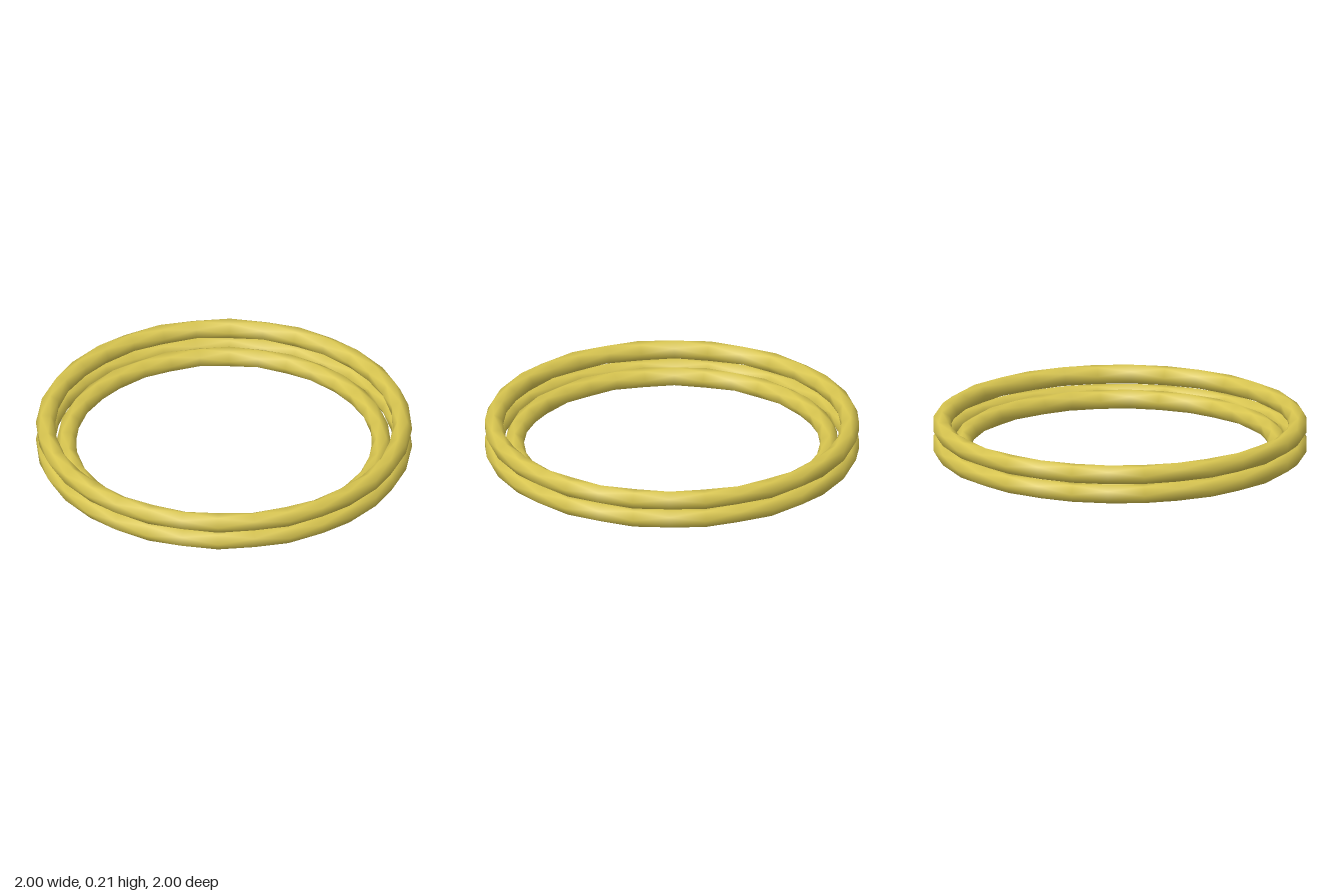
import * as THREE from 'three';

const SEGMENTS = 32;
const SIDES = 6;

// Ring with a hexagonal section turned half a side at every step, giving a rippled edge
function rippledRing(radius, tube) {
  const positions = [];
  const indices = [];
  for (let i = 0; i < SEGMENTS; i++) {
    const a = (i / SEGMENTS) * Math.PI * 2;
    for (let j = 0; j < SIDES; j++) {
      const b = ((j + i / 2) / SIDES) * Math.PI * 2;
      const r = radius + tube * Math.cos(b);
      positions.push(r * Math.sin(a), tube * Math.sin(b), r * Math.cos(a));
    }
  }
  // The last section joins the first one, shifted by the accumulated twist
  const at = (i, j) => i < SEGMENTS
    ? i * SIDES + (j % SIDES)
    : (j + SEGMENTS / 2) % SIDES;
  for (let i = 0; i < SEGMENTS; i++) {
    for (let j = 0; j < SIDES; j++) {
      indices.push(at(i, j), at(i + 1, j), at(i, j + 1));
      indices.push(at(i + 1, j), at(i + 1, j + 1), at(i, j + 1));
    }
  }
  const geometry = new THREE.BufferGeometry();
  geometry.setAttribute('position', new THREE.Float32BufferAttribute(positions, 3));
  geometry.setIndex(indices);
  geometry.computeVertexNormals();
  return geometry;
}

export function createModel() {
  const group = new THREE.Group();
  group.name = 'stackedRings';
  const gold = new THREE.MeshStandardMaterial({ color: 0xd9c650 });
  gold.name = 'gold';

  // Two outer rings stacked, one smaller ring inside the lower one
  const rings = [
    ['lowerOuterRing', 0.948, 0.053],
    ['upperOuterRing', 0.948, 0.159],
    ['innerRing', 0.837, 0.053],
  ];
  for (const [name, radius, y] of rings) {
    const ring = new THREE.Mesh(rippledRing(radius, 0.052), gold);
    ring.name = name;
    ring.position.y = y;
    group.add(ring);
  }
  return group;
}
